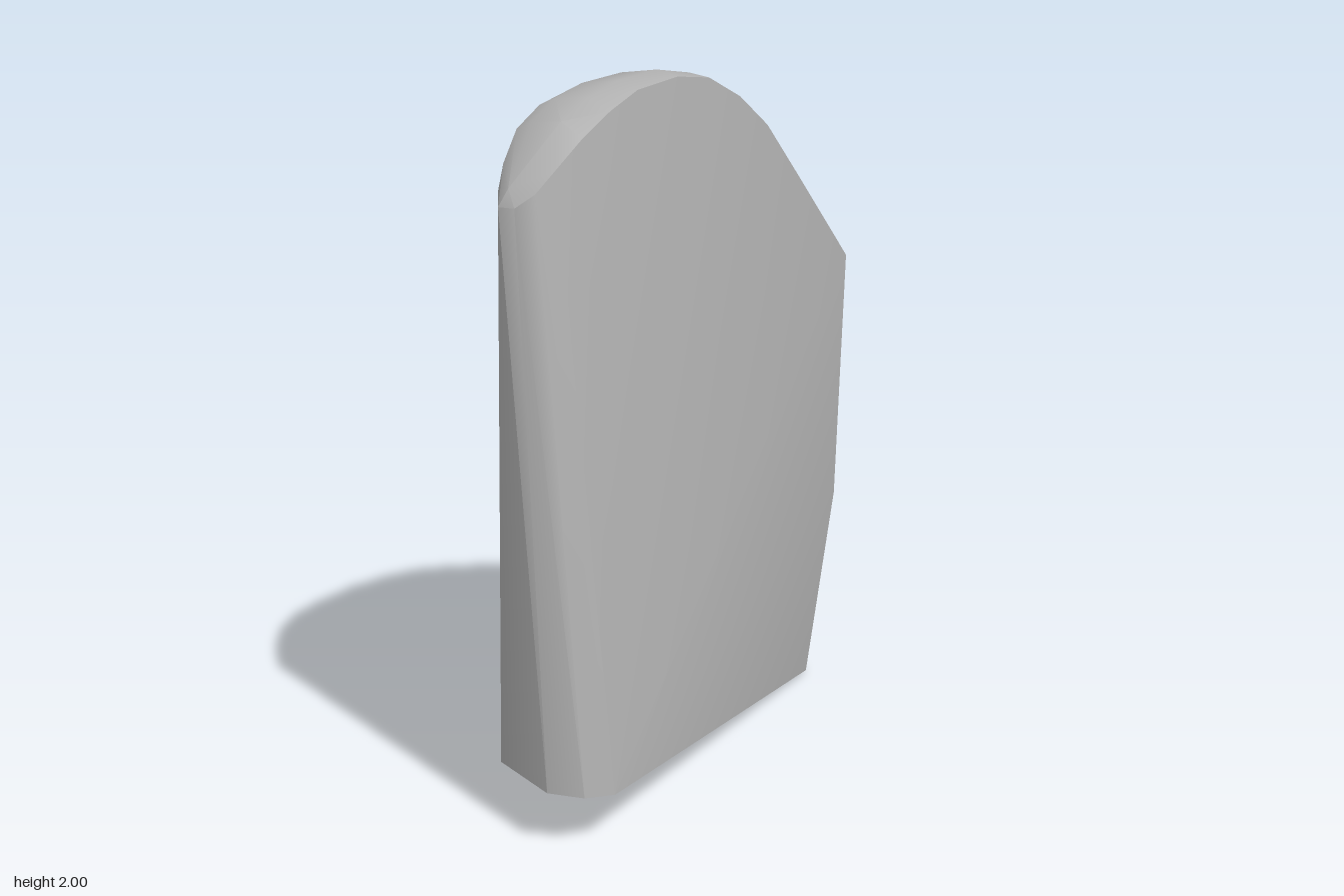
import * as THREE from 'three';
import { ConvexGeometry } from 'three/addons/geometries/ConvexGeometry.js';
import { toCreasedNormals } from 'three/addons/utils/BufferGeometryUtils.js';

// Outline of the slanted base: [x, z]
const base = [
  [0.03, -0.67], [0.29, 0.69], [0.25, 0.77], [0.155, 0.81], [-0.09, 0.71],
  [-0.2, 0.57], [-0.26, 0.37], [-0.29, -0.13], [-0.235, -0.67],
];
const baseHeight = (z) => 0.16 * (z + 0.67) / 1.48;

// Ribs across the rounded crown: [z, crest height, right x, right drop, left x, left drop]
const crown = [
  [0.52, 1.9, 0.07, 0.04, -0.15, 0.03],
  [0.4, 1.95, 0.07, 0.03, -0.17, 0.03],
  [0.28, 1.985, 0.07, 0.02, -0.175, 0.045],
  [0.1, 2.0, 0.07, 0.015, -0.18, 0.05],
  [-0.05, 1.98, 0.07, 0.01, -0.185, 0.055],
  [-0.2, 1.925, 0.073, 0.02, -0.198, 0.07],
  [-0.34, 1.83, 0.075, 0.02, -0.2, 0.08],
  [-0.52, 1.65, 0.073, 0.015, -0.193, 0.085],
];

// Rounded front lip and the narrow back end: [x, y, z]
const ends = [
  [-0.04, 1.7, 0.73], [0.01, 1.7, 0.725], [0.05, 1.735, 0.69], [0.068, 1.79, 0.63],
  [-0.09, 1.73, 0.67], [-0.13, 1.79, 0.6], [-0.03, 1.745, 0.7],
  [0.085, 0.6, -0.732], [0.065, 1.355, -0.81], [-0.1, 1.355, -0.81], [-0.13, 1.29, -0.803],
];

export function createModel() {
  const group = new THREE.Group();
  const stone = new THREE.MeshStandardMaterial({ color: 0xb0b0b0 });
  stone.name = 'grey stone';

  const points = base.map(([x, z]) => new THREE.Vector3(x, baseHeight(z), z));
  for (const [z, y, right, rightDrop, left, leftDrop] of crown) {
    points.push(
      new THREE.Vector3(right, y - rightDrop, z),
      new THREE.Vector3(0, y, z),
      new THREE.Vector3(left * 0.68, y - leftDrop * 0.3, z),
      new THREE.Vector3(left, y - leftDrop, z),
    );
  }
  for (const p of ends) points.push(new THREE.Vector3(...p));

  // One solid slab: soft across gentle bends, sharp at the rims
  const slab = new THREE.Mesh(toCreasedNormals(new ConvexGeometry(points), 0.55), stone);
  slab.name = 'stoneSlab';
  group.add(slab);
  return group;
}
